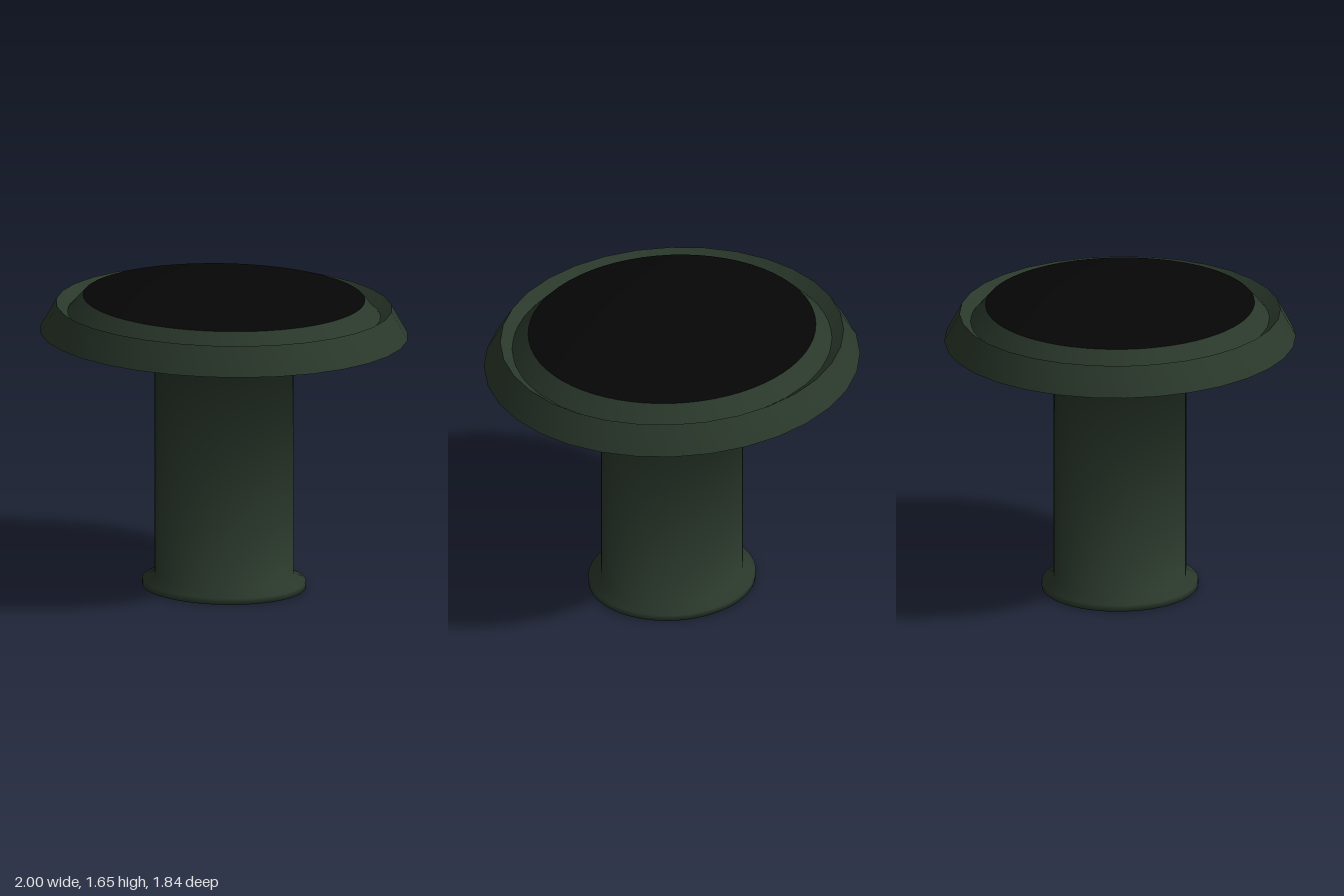
import * as THREE from 'three';
import { toCreasedNormals } from 'three/addons/utils/BufferGeometryUtils.js';

const DEPTH = 0.92; // the whole form is slightly oval: narrower in z

export function createModel() {
  const group = new THREE.Group();
  const green = new THREE.MeshStandardMaterial({ color: 0x2a382b });
  green.name = 'dark green';
  const black = new THREE.MeshStandardMaterial({ color: 0x060606 });
  black.name = 'black';

  // Turn an [radius, height] profile, listed from bottom to top, into an oval solid;
  // edges sharper than the crease angle stay hard
  function turned(name, profile, segments, material, crease) {
    const points = profile.map(([r, y]) => new THREE.Vector2(r, y));
    const geometry = new THREE.LatheGeometry(points, segments);
    geometry.scale(1, 1, DEPTH);
    const mesh = new THREE.Mesh(toCreasedNormals(geometry, crease), material);
    mesh.name = name;
    group.add(mesh);
  }

  // Bevelled foot, straight column and the recessed underside of the head, softly blended
  turned('stem', [
    [0, 0], [0.445, 0], [0.445, 0.033], [0.377, 0.06], [0.377, 1.45], [0.86, 1.45],
  ], 64, green, 1.65);

  // Overhanging rim: underside lip, outer slope, and a groove inside its crest
  turned('rim', [[0.855, 1.45], [1, 1.363], [0.913, 1.512], [0.85, 1.465]], 32, green, 0.4);

  // Bevelled collar rising out of the groove
  turned('collar', [[0.86, 1.455], [0.765, 1.555]], 64, green, 0.4);

  // Shallow conical cap
  turned('cap', [[0.765, 1.555], [0, 1.65]], 64, black, 0.4);

  return group;
}
